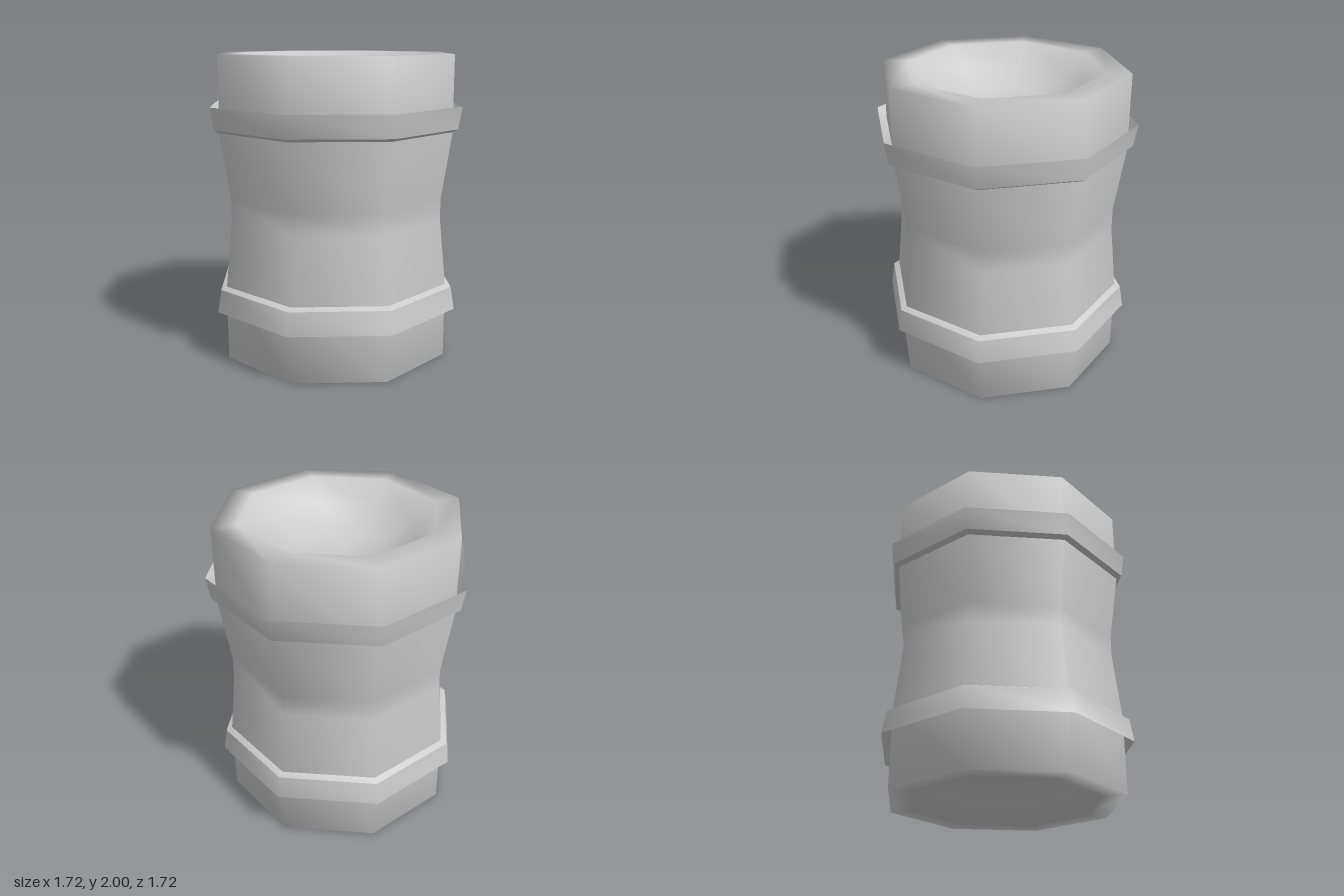
import * as THREE from 'three';
import { mergeVertices } from 'three/addons/utils/BufferGeometryUtils.js';

const SIDES = 8;
const material = new THREE.MeshStandardMaterial({ color: 0xcccccc });

// Octagonal surface of revolution with welded, area-weighted smooth normals
function lathe(name, profile) {
  const points = profile.map(([r, y]) => new THREE.Vector2(r, y));
  const raw = new THREE.LatheGeometry(points, SIDES);
  raw.deleteAttribute('uv');
  raw.deleteAttribute('normal');
  const geometry = mergeVertices(raw);
  geometry.computeVertexNormals();
  const mesh = new THREE.Mesh(geometry, material);
  mesh.name = name;
  return mesh;
}

// Flared collar: each face is its own strip so the edges stay sharp
function collar(name, profile) {
  const group = new THREE.Group();
  group.name = name;
  for (let i = 0; i < profile.length - 1; i++) {
    group.add(lathe(name + 'Face' + (i + 1), [profile[i], profile[i + 1]]));
  }
  return group;
}

export function createModel() {
  const model = new THREE.Group();
  model.name = 'waistedPipe';

  // Waisted body with broad rims and a dished hollow at each end
  model.add(lathe('body', [
    [0, 0.28], [0.3, 0.23], [0.5, 0.12], [0.63, 0], [0.78, 0],
    [0.78, 0.5], [0.735, 0.93], [0.735, 1.07], [0.8, 1.5],
    [0.8, 2], [0.64, 2], [0.5, 1.88], [0.3, 1.77], [0, 1.72],
  ]));

  // Upper collar flares upward, lower collar flares downward
  model.add(collar('upperCollar', [[0.79, 1.505], [0.835, 1.53], [0.86, 1.675], [0.79, 1.59]]));
  model.add(collar('lowerCollar', [[0.77, 0.42], [0.845, 0.33], [0.82, 0.48], [0.775, 0.5]]));

  return model;
}
